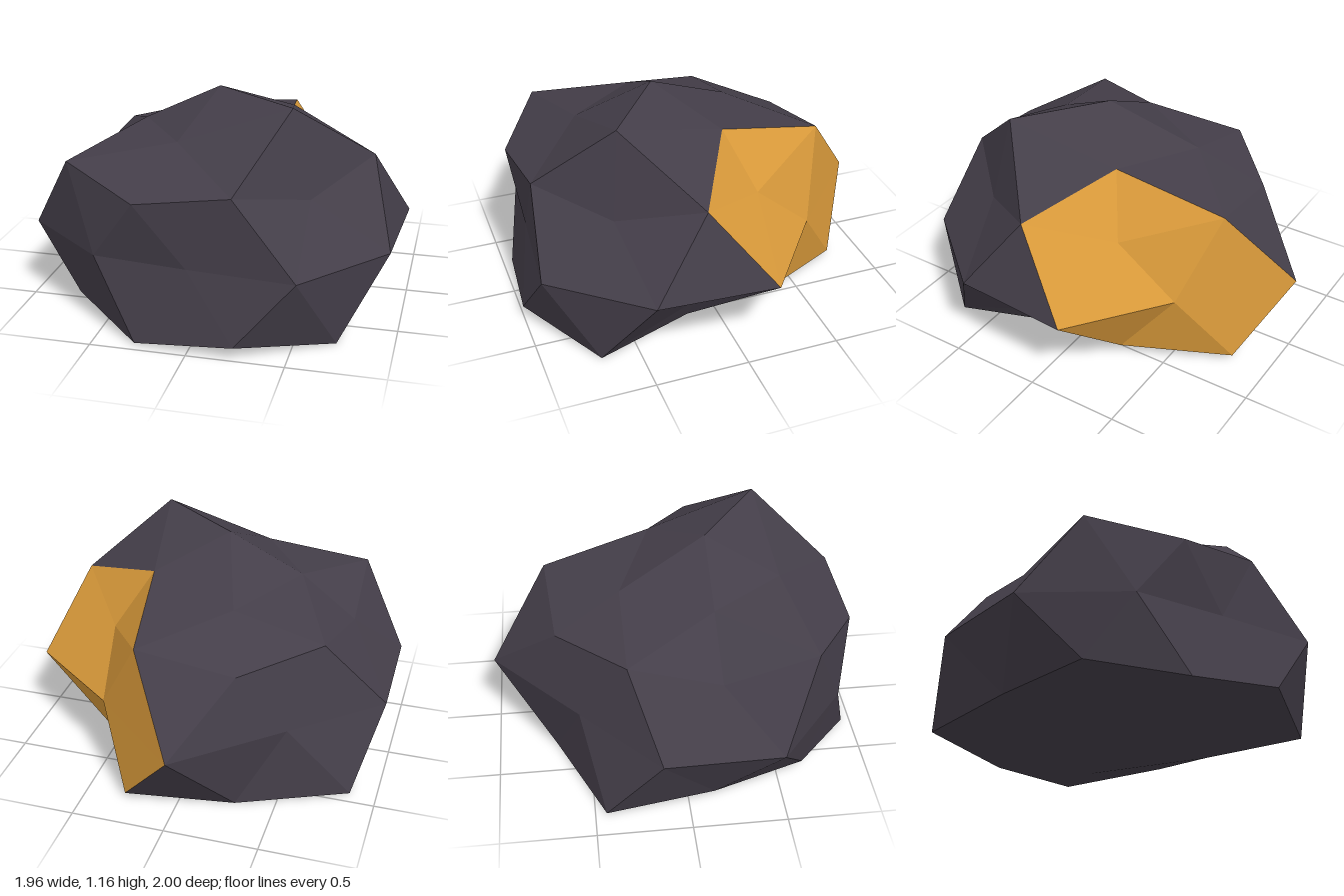
import * as THREE from 'three';

const stone = new THREE.MeshStandardMaterial({ color: 0x443e49 });
stone.name = 'darkStone';
const ochre = new THREE.MeshStandardMaterial({ color: 0xd8993a });
ochre.name = 'ochreOre';

// Rings of the faceted boulder, each running around the vertical axis from +x towards +z
const top = [-0.02, 1.16, 0.17];
const bottom = [0, 0, 0.05];
const crown = [[0.43, 1.16, 0.5], [-0.15, 0.96, 0.56], [-0.43, 0.96, 0.17], [-0.17, 0.94, -0.3], [0.33, 1.0, -0.1]];
const shoulder = [[0.54, 0.71, 0.56], [-0.28, 0.75, 0.93], [-0.73, 0.72, 0.18], [-0.28, 0.76, -0.65], [0.52, 0.7, -0.23]];
const ridge = [[0.21, 0.81, 0.9], [-0.71, 0.85, 0.67], [-0.66, 0.81, -0.3], [0.24, 0.86, -0.69], [0.81, 0.84, 0.16]];
const girdleA = [[0.94, 0.42, 0.47], [-0.02, 0.42, 0.9], [-0.97, 0.42, 0.47], [-0.53, 0.42, -0.55], [0.48, 0.42, -0.55]];
const girdleB = [[0.54, 0.42, 0.95], [-0.52, 0.42, 0.84], [-0.98, 0.42, -0.15], [-0.02, 0.42, -1.0], [0.98, 0.42, -0.17]];
const lower = [[0.63, 0.17, 0.16], [0.24, 0.07, 1.0], [-0.68, 0.1, 0.63], [-0.86, 0.01, -0.44], [0.28, 0.03, -0.8]];
const foot = [[0.71, 0, 0.7], [-0.28, 0.01, 0.95], [-0.8, 0.05, 0.14], [-0.29, 0, -0.68], [0.56, 0.06, -0.27]];
const base = [[0.52, 0, 0.16], [0.15, 0, 0.55], [-0.4, 0, 0.38], [-0.45, 0, -0.22], [0.18, 0, -0.45]];

// Triangles between the rings, repeated for five sectors
function makeFaces() {
  const faces = [];
  for (let i = 0; i < 5; i++) {
    const n = (i + 1) % 5, p = (i + 4) % 5;
    faces.push(
      [top, crown[i], crown[n]],
      [crown[i], ridge[i], crown[n]],
      [crown[i], shoulder[i], ridge[i]],
      [crown[n], ridge[i], shoulder[n]],
      [shoulder[i], girdleA[i], girdleB[i]],
      [shoulder[i], girdleB[i], ridge[i]],
      [ridge[i], girdleB[i], girdleA[n]],
      [ridge[i], girdleA[n], shoulder[n]],
      [girdleB[p], girdleA[i], lower[i]],
      [girdleA[i], lower[i], foot[i]],
      [girdleA[i], foot[i], girdleB[i]],
      [girdleB[i], foot[i], lower[n]],
      [lower[i], base[i], foot[i]],
      [foot[i], base[i], base[n]],
      [foot[i], base[n], lower[n]],
      [bottom, base[i], base[n]]
    );
  }
  return faces;
}

// Unshared corners give flat facets; each triangle is turned to face outwards
function facetMesh(faces, material, name) {
  const centre = new THREE.Vector3(0, 0.5, 0);
  const points = [];
  for (const face of faces) {
    const [a, b, c] = face.map((v) => new THREE.Vector3(...v));
    const normal = b.clone().sub(a).cross(c.clone().sub(a));
    const outward = a.clone().add(b).add(c).divideScalar(3).sub(centre);
    points.push(...(normal.dot(outward) < 0 ? [a, c, b] : [a, b, c]));
  }
  const geometry = new THREE.BufferGeometry().setFromPoints(points);
  geometry.computeVertexNormals();
  const mesh = new THREE.Mesh(geometry, material);
  mesh.name = name;
  return mesh;
}

export function createModel() {
  const group = new THREE.Group();
  group.name = 'oreBoulder';
  // The ore patch is every facet touching these two corners
  const isOre = (f) => f.includes(shoulder[4]) || f.includes(girdleA[4]);
  const faces = makeFaces();
  group.add(facetMesh(faces.filter((f) => !isOre(f)), stone, 'boulder'));
  group.add(facetMesh(faces.filter(isOre), ochre, 'orePatch'));
  return group;
}
